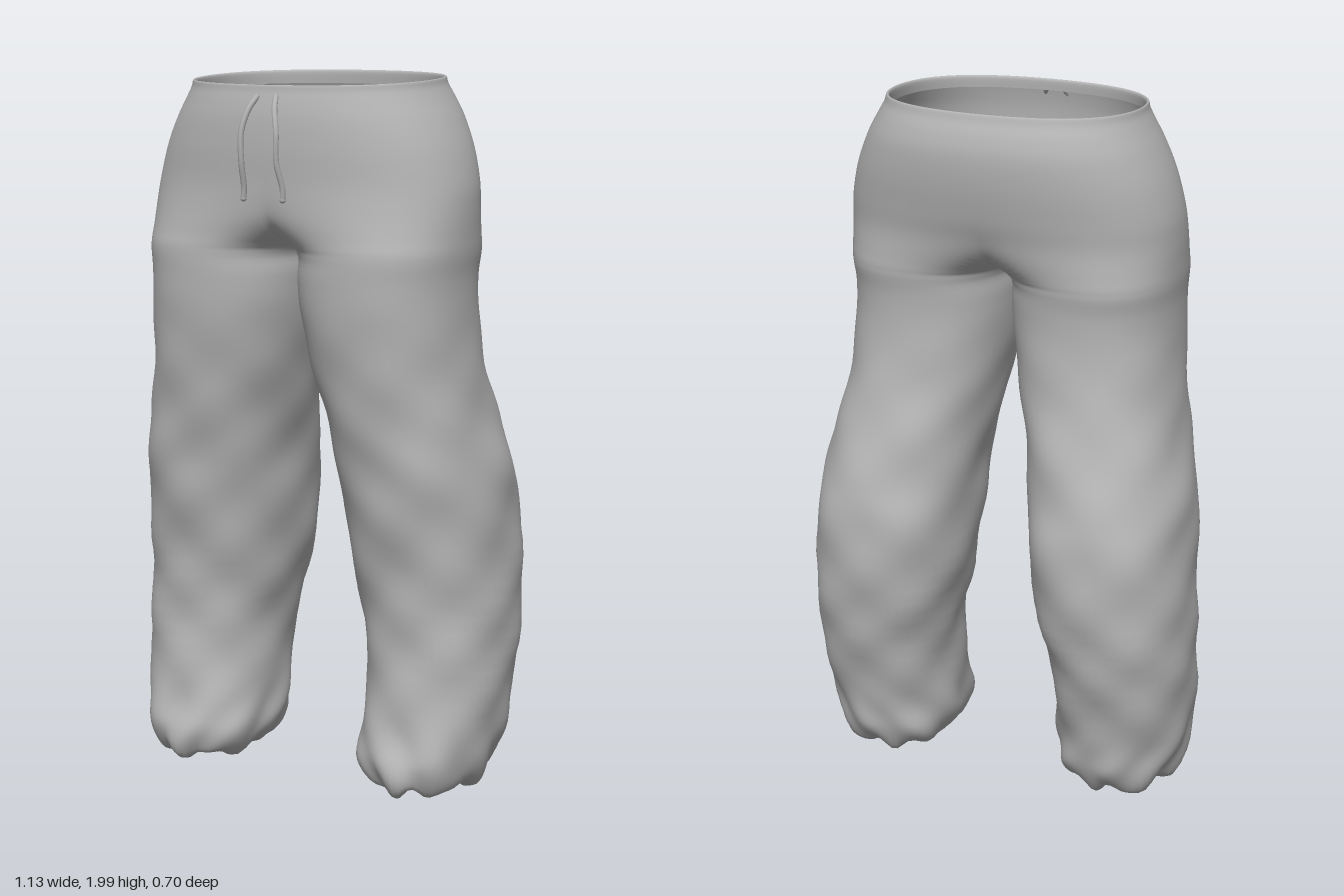
import * as THREE from 'three';
import { mergeVertices } from 'three/addons/utils/BufferGeometryUtils.js';

// Cross-sections of one trouser leg, hem to waist: [y, inner x, outer x, back z, front z].
// A negative inner x means the two halves join on the centre plane.
const SECTIONS = [
  [0.02, 0.25, 0.46, -0.15, 0.18],
  [0.035, 0.21, 0.50, -0.19, 0.215],
  [0.1, 0.175, 0.53, -0.23, 0.23],
  [0.2, 0.17, 0.55, -0.245, 0.2],
  [0.4, 0.165, 0.56, -0.295, 0.18],
  [0.6, 0.125, 0.56, -0.33, 0.19],
  [0.8, 0.105, 0.55, -0.34, 0.225],
  [0.92, 0.095, 0.54, -0.315, 0.24],
  [1.05, 0.07, 0.505, -0.28, 0.26],
  [1.2, 0.038, 0.48, -0.235, 0.285],
  [1.35, 0.012, 0.47, -0.215, 0.305],
  [1.45, 0.004, 0.468, -0.215, 0.31],
  [1.52, 0, 0.474, -0.225, 0.31],
  [1.57, -0.09, 0.475, -0.23, 0.306],
  [1.64, -0.28, 0.475, -0.243, 0.307],
  [1.71, -0.42, 0.469, -0.265, 0.31],
  [1.8, -0.445, 0.445, -0.285, 0.315],
  [1.88, -0.41, 0.41, -0.292, 0.313],
  [1.93, -0.382, 0.382, -0.283, 0.307],
  [1.965, -0.363, 0.363, -0.268, 0.3],
  [1.985, -0.357, 0.357, -0.261, 0.297],
  [1.98, -0.35, 0.35, -0.254, 0.29],
  [1.95, -0.352, 0.352, -0.256, 0.291],
];
const AROUND = 56, STEPS = 5;

// Catmull-Rom blend between neighbouring sections
function sectionAt(i, f) {
  const at = k => SECTIONS[Math.min(Math.max(k, 0), SECTIONS.length - 1)];
  const [a, b, c, d] = [at(i - 1), at(i), at(i + 1), at(i + 2)];
  return b.map((p, k) => p + 0.5 * f * (c[k] - a[k] + f * (2 * a[k] - 5 * p + 4 * c[k] - d[k]
    + f * (3 * (p - c[k]) + d[k] - a[k]))));
}

// Soft cloth folds, strongest at knee and hem
function fold(t, y) {
  const leg = THREE.MathUtils.smoothstep(1.5 - y, 0, 0.6);
  const hem = THREE.MathUtils.smoothstep(0.28 - y, 0, 0.2);
  return leg * (0.005 * Math.sin(3 * t + 9 * y) * Math.sin(17 * y + 2 * t)
    + 0.004 * Math.sin(5 * t - 23 * y + Math.sin(7 * y)))
    + hem * 0.007 * Math.sin(8 * t + 25 * y);
}

function trouserGeometry() {
  const rows = [];
  for (let i = 0; i < SECTIONS.length - 1; i++)
    for (let s = 0; s < STEPS; s++) rows.push(sectionAt(i, s / STEPS));
  rows.push(SECTIONS[SECTIONS.length - 1]);

  const pos = [], index = [], n = AROUND + 1;
  for (const side of [1, -1]) {
    const base = pos.length / 3;
    for (const [y, inner, outer, back, front] of rows) {
      const cx = (inner + outer) / 2, rx = (outer - inner) / 2;
      const cz = (front + back) / 2, rz = (front - back) / 2;
      const start = Math.acos(Math.min(1, cx / rx));   // where the ring meets the centre plane
      for (let j = 0; j < n; j++) {
        const t = start + (j / AROUND) * 2 * (Math.PI - start);
        const c = Math.cos(t), sn = Math.sin(t);
        const square = 1 + 0.05 * Math.sin(2 * t) ** 2;   // slightly boxy ring
        const r = fold(t, y);
        let x = cx - c * (rx * square + r);
        if (inner <= 0 && (j === 0 || j === AROUND)) x = 0;
        const z = cz + sn * (rz * square + r);
        const hem = Math.max(0, 1 - y / 0.12);
        const rise = y > 1.85 ? (y - 1.85) * -0.32 * z : 0;   // waist is higher at the back
        const ripple = hem * (0.014 * Math.sin(7 * t + 1) + 0.008 * Math.sin(11 * t));
        pos.push(side * Math.max(0, x), Math.max(0, y + rise + ripple), z);
      }
    }
    for (let i = 0; i < rows.length - 1; i++) {
      for (let j = 0; j < AROUND; j++) {
        const a = base + i * n + j, b = a + 1, c = a + n, d = c + 1;
        if (side > 0) index.push(a, b, c, b, d, c);
        else index.push(a, c, b, b, c, d);
      }
    }
  }
  let geo = new THREE.BufferGeometry();
  geo.setAttribute('position', new THREE.Float32BufferAttribute(pos, 3));
  geo.setIndex(index);
  geo = mergeVertices(geo, 1e-5);
  geo.computeVertexNormals();
  return geo;
}

export function createModel() {
  const model = new THREE.Group();
  model.name = 'trousers';
  const cloth = new THREE.MeshStandardMaterial({ color: 0xb4b4b4, side: THREE.DoubleSide });
  cloth.name = 'grey cloth';

  const body = new THREE.Mesh(trouserGeometry(), cloth);
  body.name = 'legsAndWaist';
  model.add(body);

  // Drawstrings hanging from the waistband
  const cords = {
    leftDrawstring: [[0.028, 1.945, 0.3], [0.038, 1.91, 0.325], [0.053, 1.85, 0.343],
      [0.052, 1.77, 0.34], [0.06, 1.7, 0.322], [0.058, 1.67, 0.318]],
    rightDrawstring: [[-0.028, 1.945, 0.3], [-0.042, 1.91, 0.325], [-0.055, 1.85, 0.343],
      [-0.057, 1.77, 0.34], [-0.06, 1.7, 0.322], [-0.064, 1.67, 0.318]],
  };
  for (const [name, points] of Object.entries(cords)) {
    const path = new THREE.CatmullRomCurve3(points.map(p => new THREE.Vector3(...p)));
    const cord = new THREE.Mesh(new THREE.TubeGeometry(path, 32, 0.008, 8), cloth);
    cord.name = name;
    model.add(cord);
    const tip = new THREE.Mesh(new THREE.SphereGeometry(0.0085, 10, 8), cloth);
    tip.position.set(...points[points.length - 1]);
    tip.name = name + 'Tip';
    model.add(tip);
  }
  return model;
}
